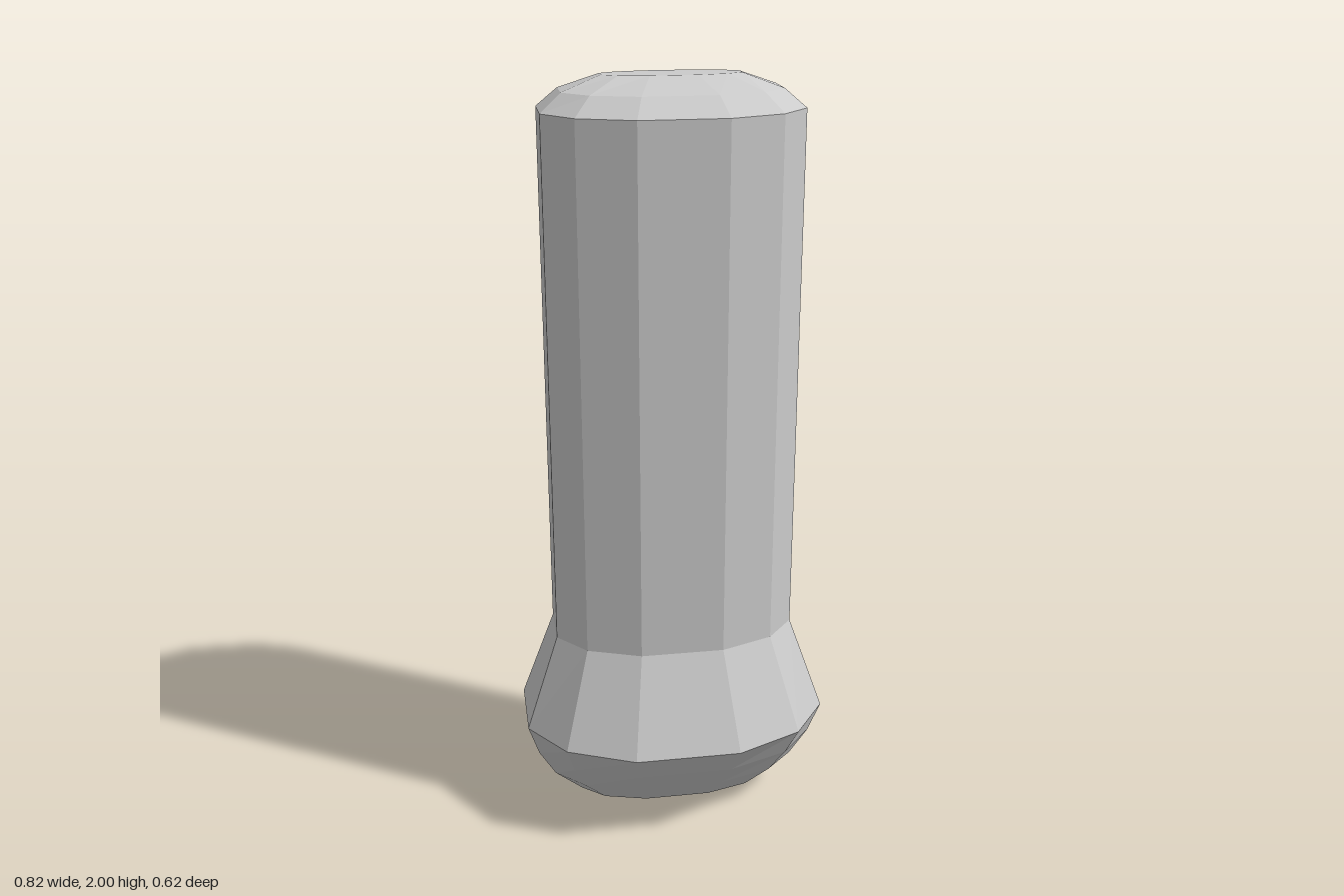
import * as THREE from 'three';

// One quarter of the 12-sided oval outline, as fractions of half width and half depth
const QUARTER = [[1, 0.33], [0.77, 0.75], [0.34, 1]];
const OUTLINE = [
  ...QUARTER,
  ...QUARTER.map(([x, z]) => [-x, z]).reverse(),
  ...QUARTER.map(([x, z]) => [-x, -z]),
  ...QUARTER.map(([x, z]) => [x, -z]).reverse(),
];

// Lofts the outline through rings of [y, half width, half depth], from bottom to top
function loft(name, rings, { capBottom = false, capTop = false } = {}) {
  const n = OUTLINE.length;
  const positions = [];
  const index = [];
  for (const [y, w, d] of rings) {
    for (const [x, z] of OUTLINE) positions.push(x * w, y, z * d);
  }
  for (let r = 0; r < rings.length - 1; r++) {
    for (let i = 0; i < n; i++) {
      const a = r * n + i;
      const b = r * n + (i + 1) % n;
      index.push(a, a + n, b, b, a + n, b + n);
    }
  }
  const last = (rings.length - 1) * n;
  for (let i = 1; i < n - 1; i++) {
    if (capBottom) index.push(0, i, i + 1);
    if (capTop) index.push(last, last + i + 1, last + i);
  }
  const indexed = new THREE.BufferGeometry();
  indexed.setAttribute('position', new THREE.Float32BufferAttribute(positions, 3));
  indexed.setIndex(index);
  const geometry = indexed.toNonIndexed();
  geometry.computeVertexNormals();
  const material = new THREE.MeshStandardMaterial({ color: 0xcccccc, flatShading: true });
  const mesh = new THREE.Mesh(geometry, material);
  mesh.name = name;
  return mesh;
}

export function createModel() {
  const group = new THREE.Group();
  group.name = 'handle';

  // Rounded knob at the foot
  group.add(loft('knob', [
    [0, 0.09, 0.02],
    [0.035, 0.26, 0.12],
    [0.105, 0.335, 0.175],
    [0.19, 0.38, 0.24],
    [0.285, 0.408, 0.31],
  ], { capBottom: true }));

  // Flare and straight shaft
  group.add(loft('flare', [[0.285, 0.408, 0.31], [0.54, 0.32, 0.204]]));
  group.add(loft('shaft', [[0.54, 0.32, 0.204], [1.92, 0.32, 0.204]]));

  // Domed end cap
  group.add(loft('endCap', [
    [1.92, 0.32, 0.204],
    [1.965, 0.268, 0.15],
    [2, 0.17, 0.052],
  ], { capTop: true }));

  return group;
}
